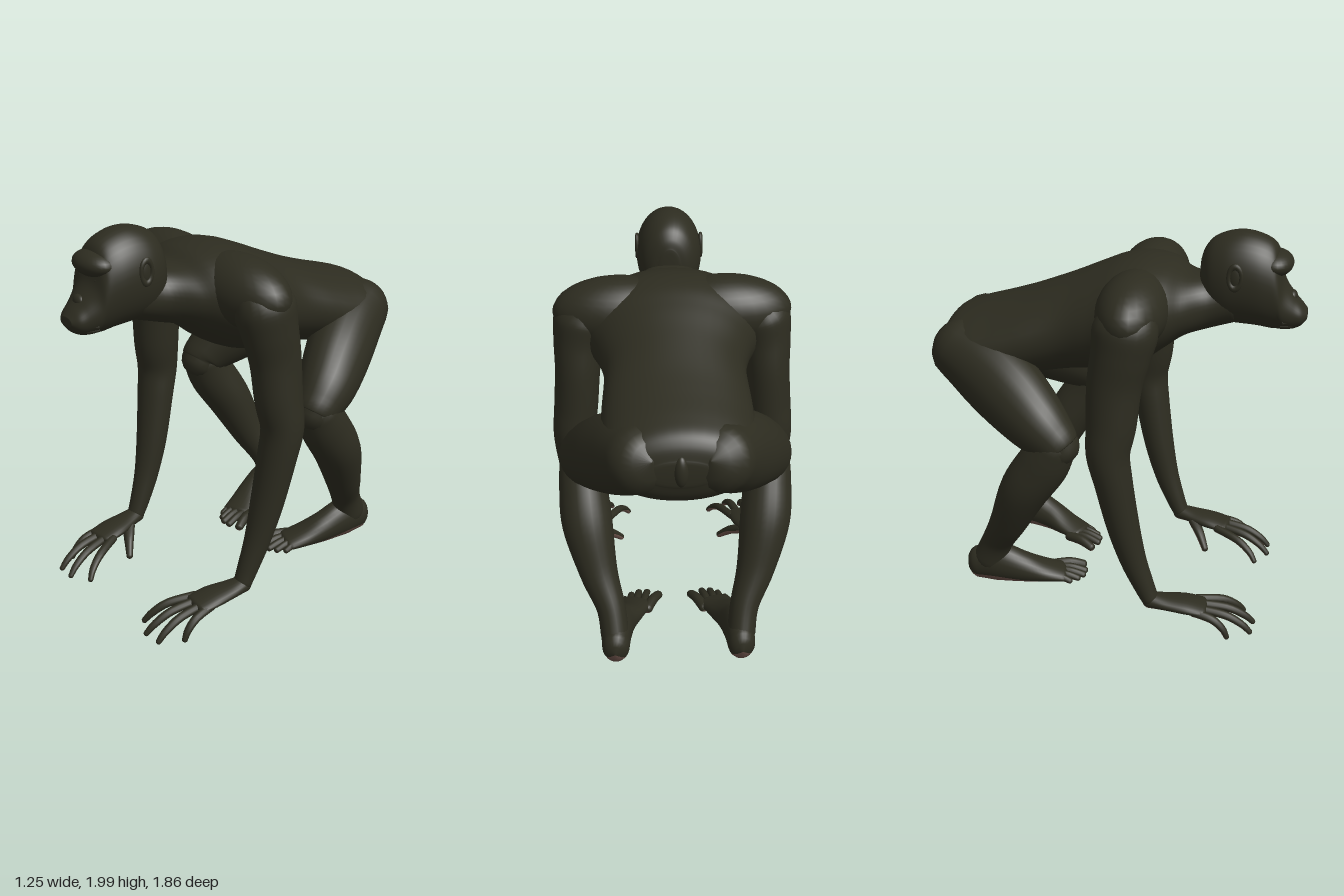
import * as THREE from 'three';

const fur = new THREE.MeshStandardMaterial({ color: 0x2d2c20 });
fur.name = 'dark olive fur';
const skin = new THREE.MeshStandardMaterial({ color: 0x684f47 });
skin.name = 'palm skin';

// Smooth Catmull-Rom value between rows of numbers
function sample(rows, t) {
  const n = rows.length - 1;
  const f = Math.min(t * n, n - 1e-6), i = Math.floor(f), u = f - i;
  const p = k => rows[Math.max(0, Math.min(n, k))];
  return rows[0].map((_, k) => {
    const a = p(i - 1)[k], b = p(i)[k], c = p(i + 1)[k], d = p(i + 2)[k];
    return b + 0.5 * u * (c - a + u * (2 * a - 5 * b + 4 * c - d + u * (3 * (b - c) + d - a)));
  });
}

// Loft through rows of [x, y, z, side radius, up radius], with domed ends.
// sole: the ring below this height (-1 to 1) gets the skin colour; axis: fixed ring direction.
function loft(name, rows, { sides = 24, steps = 6, cap = 0.9, power = 2, sole = -1, axis = null } = {}) {
  const count = (rows.length - 1) * steps, rings = [];
  const pos = r => new THREE.Vector3(r[0], r[1], r[2]);
  for (let i = 0; i <= count; i++) {
    const t = i / count, r = sample(rows, t);
    const tangent = axis ? axis.clone()
      : pos(sample(rows, Math.min(1, t + 0.01))).sub(pos(sample(rows, Math.max(0, t - 0.01)))).normalize();
    rings.push({ c: pos(r), tangent, a: r[3], b: r[4] });
  }
  const dome = (ring, sign) => [0.3, 0.6, 0.85, 1].map(s => ({
    c: ring.c.clone().addScaledVector(ring.tangent, sign * s * cap * Math.min(ring.a, ring.b)),
    tangent: ring.tangent,
    a: ring.a * Math.sqrt(1 - s * s), b: ring.b * Math.sqrt(1 - s * s),
  }));
  const all = [...dome(rings[0], -1).reverse(), ...rings, ...dome(rings[count], 1)];
  const points = [], top = [], under = [];
  const soft = v => Math.sign(v) * Math.abs(v) ** (2 / power);
  all.forEach((ring, i) => {
    const side = new THREE.Vector3(1, 0, 0).addScaledVector(ring.tangent, -ring.tangent.x).normalize();
    const up = ring.tangent.clone().cross(side);
    for (let j = 0; j < sides; j++) {
      const angle = j / sides * Math.PI * 2;
      const p = ring.c.clone().addScaledVector(side, soft(Math.cos(angle)) * ring.a)
        .addScaledVector(up, soft(Math.sin(angle)) * ring.b);
      points.push(p.x, p.y, p.z);
      if (i === all.length - 1) continue;
      const k = (j + 1) % sides, o = i * sides, q = o + sides;
      const list = Math.sin((j + 0.5) / sides * Math.PI * 2) < sole ? under : top;
      list.push(o + j, o + k, q + k, o + j, q + k, q + j);
    }
  });
  const g = new THREE.BufferGeometry();
  g.setAttribute('position', new THREE.Float32BufferAttribute(points, 3));
  g.setIndex([...top, ...under]);
  g.addGroup(0, top.length, 0);
  if (under.length) g.addGroup(top.length, under.length, 1);
  g.computeVertexNormals();
  const mesh = new THREE.Mesh(g, under.length ? [fur, skin] : fur);
  mesh.name = name;
  return mesh;
}

// Loft along z from rows of [z, top, bottom, half width]
const loftZ = (name, rows, power) => loft(name,
  rows.map(([z, t, b, w]) => [0, (t + b) / 2, z, w, (t - b) / 2]),
  { sides: 40, cap: 0.1, power, axis: new THREE.Vector3(0, 0, 1) });

function ellipsoid(name, c, r) {
  const mesh = new THREE.Mesh(new THREE.SphereGeometry(1, 28, 18), fur);
  mesh.position.set(...c);
  mesh.scale.set(...r);
  mesh.name = name;
  return mesh;
}

// Symmetric lip across the muzzle from its half path
function lip(name, half) {
  const mirrored = half.slice(1).reverse().map(([x, y, z]) => [-x, y, z]);
  const curve = new THREE.CatmullRomCurve3([...mirrored, ...half].map(p => new THREE.Vector3(...p)));
  const mesh = new THREE.Mesh(new THREE.TubeGeometry(curve, 32, 0.016, 10), fur);
  mesh.name = name;
  return mesh;
}

export function createModel() {
  const model = new THREE.Group();
  model.name = 'ape';

  // Torso from rump to neck
  model.add(loftZ('torso', [
    [-0.905, 1.40, 1.26, 0.16], [-0.885, 1.46, 1.2, 0.26], [-0.84, 1.51, 1.15, 0.325],
    [-0.75, 1.545, 1.14, 0.357], [-0.6, 1.59, 1.16, 0.362], [-0.45, 1.64, 1.21, 0.355],
    [-0.25, 1.72, 1.25, 0.345], [-0.1, 1.785, 1.27, 0.38], [0.02, 1.83, 1.28, 0.43],
    [0.14, 1.845, 1.33, 0.43], [0.25, 1.825, 1.41, 0.37], [0.34, 1.78, 1.47, 0.27],
    [0.45, 1.775, 1.5, 0.165], [0.58, 1.79, 1.54, 0.14]], 2.05));
  model.add(ellipsoid('tailStub', [0, 1.34, -0.895], [0.035, 0.08, 0.035]));

  // Head and muzzle
  model.add(loftZ('head', [
    [0.405, 1.86, 1.62, 0.06], [0.42, 1.905, 1.58, 0.10], [0.46, 1.955, 1.555, 0.14],
    [0.53, 1.988, 1.54, 0.165], [0.61, 2.0, 1.535, 0.17], [0.69, 1.985, 1.53, 0.165],
    [0.755, 1.95, 1.52, 0.15], [0.785, 1.89, 1.52, 0.14], [0.81, 1.775, 1.52, 0.126],
    [0.86, 1.70, 1.525, 0.1], [0.90, 1.655, 1.545, 0.08], [0.925, 1.625, 1.575, 0.048]], 2.05));
  model.add(ellipsoid('brow', [0, 1.85, 0.76], [0.13, 0.062, 0.088]));
  model.add(lip('upperLip', [[0, 1.612, 0.912], [0.045, 1.605, 0.895], [0.075, 1.592, 0.86], [0.095, 1.58, 0.81]]));
  model.add(lip('lowerLip', [[0, 1.572, 0.9], [0.04, 1.568, 0.885], [0.068, 1.56, 0.845], [0.08, 1.56, 0.8]]));
  model.add(ellipsoid('nose', [0, 1.685, 0.85], [0.042, 0.032, 0.025]));

  for (const s of [1, -1]) {
    const side = s > 0 ? 'left' : 'right';
    const limb = (name, rows, options) =>
      model.add(loft(side + name, rows.map(([x, ...rest]) => [x * s, ...rest]), options));
    const blob = (name, [x, y, z], r) => model.add(ellipsoid(side + name, [x * s, y, z], r));

    // Eye and ear
    blob('Eye', [0.06, 1.785, 0.785], [0.024, 0.014, 0.018]);
    blob('InnerEar', [0.16, 1.81, 0.585], [0.013, 0.055, 0.028]);
    const rim = new THREE.Mesh(new THREE.TorusGeometry(0.031, 0.01, 8, 24), fur);
    rim.name = side + 'EarRim';
    rim.position.set(s * 0.167, 1.81, 0.585);
    rim.rotation.y = Math.PI / 2;
    rim.scale.y = 1.75;
    model.add(rim);

    // Shoulder and arm
    blob('Shoulder', [0.265, 1.655, 0.12], [0.335, 0.178, 0.178]);
    limb('Arm', [
      [0.43, 1.68, 0.12, 0.11, 0.14], [0.455, 1.61, 0.117, 0.142, 0.158], [0.475, 1.5, 0.1, 0.127, 0.145],
      [0.485, 1.35, 0.072, 0.115, 0.134], [0.50, 1.15, 0.06, 0.113, 0.123], [0.515, 1.0, 0.047, 0.108, 0.108],
      [0.508, 0.85, 0.07, 0.104, 0.095], [0.49, 0.6, 0.115, 0.088, 0.082], [0.478, 0.4, 0.165, 0.068, 0.067],
      [0.47, 0.25, 0.22, 0.055, 0.053], [0.468, 0.18, 0.25, 0.05, 0.045]]);

    // Hand, fingers and thumb
    limb('Hand', [
      [0.468, 0.165, 0.25, 0.048, 0.042], [0.458, 0.158, 0.33, 0.066, 0.035],
      [0.442, 0.148, 0.43, 0.084, 0.034], [0.432, 0.135, 0.52, 0.085, 0.026]], { sole: -0.4 });
    const fingers = [[0.495, 0.508, 0.67], [0.455, 0.44, 0.78], [0.408, 0.345, 0.785], [0.365, 0.245, 0.725]];
    for (const [base, tip, z] of fingers)
      limb('Finger', [
        [base, 0.136, 0.48, 0.023, 0.022], [base * 0.5 + tip * 0.5, 0.113, 0.24 + z / 2, 0.023, 0.021],
        [base * 0.2 + tip * 0.8, 0.067, 0.096 + z * 0.8, 0.02, 0.018],
        [tip, 0.022, z - 0.014, 0.015, 0.014]], { sides: 12, steps: 4, sole: -0.4 });
    limb('Thumb', [
      [0.415, 0.14, 0.34, 0.036, 0.028], [0.35, 0.1, 0.385, 0.028, 0.025], [0.29, 0.04, 0.425, 0.018, 0.018]],
      { sides: 12, sole: -0.4 });

    // Thigh and shin
    limb('Thigh', [
      [0.185, 1.345, -0.785, 0.16, 0.165], [0.255, 1.275, -0.63, 0.172, 0.195], [0.345, 1.19, -0.48, 0.165, 0.19],
      [0.425, 1.09, -0.335, 0.148, 0.16], [0.46, 1.015, -0.24, 0.122, 0.124], [0.465, 0.98, -0.21, 0.105, 0.105]]);
    limb('Shin', [
      [0.466, 0.99, -0.235, 0.115, 0.112], [0.465, 0.88, -0.295, 0.122, 0.13], [0.448, 0.72, -0.4, 0.127, 0.125],
      [0.398, 0.5, -0.505, 0.097, 0.097], [0.34, 0.34, -0.59, 0.074, 0.082], [0.322, 0.21, -0.645, 0.072, 0.09]]);

    // Foot and toes
    limb('Foot', [
      [0.318, 0.178, -0.705, 0.07, 0.092], [0.312, 0.188, -0.60, 0.078, 0.11], [0.29, 0.16, -0.48, 0.08, 0.085],
      [0.25, 0.13, -0.37, 0.088, 0.052], [0.215, 0.11, -0.28, 0.088, 0.032]], { sole: -0.55 });
    const toes = [[0.15, 0.09, -0.19, 0.027], [0.18, 0.15, -0.165, 0.021], [0.215, 0.195, -0.165, 0.021],
      [0.25, 0.235, -0.185, 0.02], [0.28, 0.272, -0.22, 0.019]];
    for (const [base, tip, z, r] of toes)
      limb('Toe', [
        [base, 0.11, -0.33, r, r], [(base + tip) / 2, 0.11, (z - 0.32) / 2, r, r], [tip, 0.09, z, r * 0.9, r * 0.8]],
        { sides: 12, steps: 4, sole: -0.4 });
  }
  return model;
}
